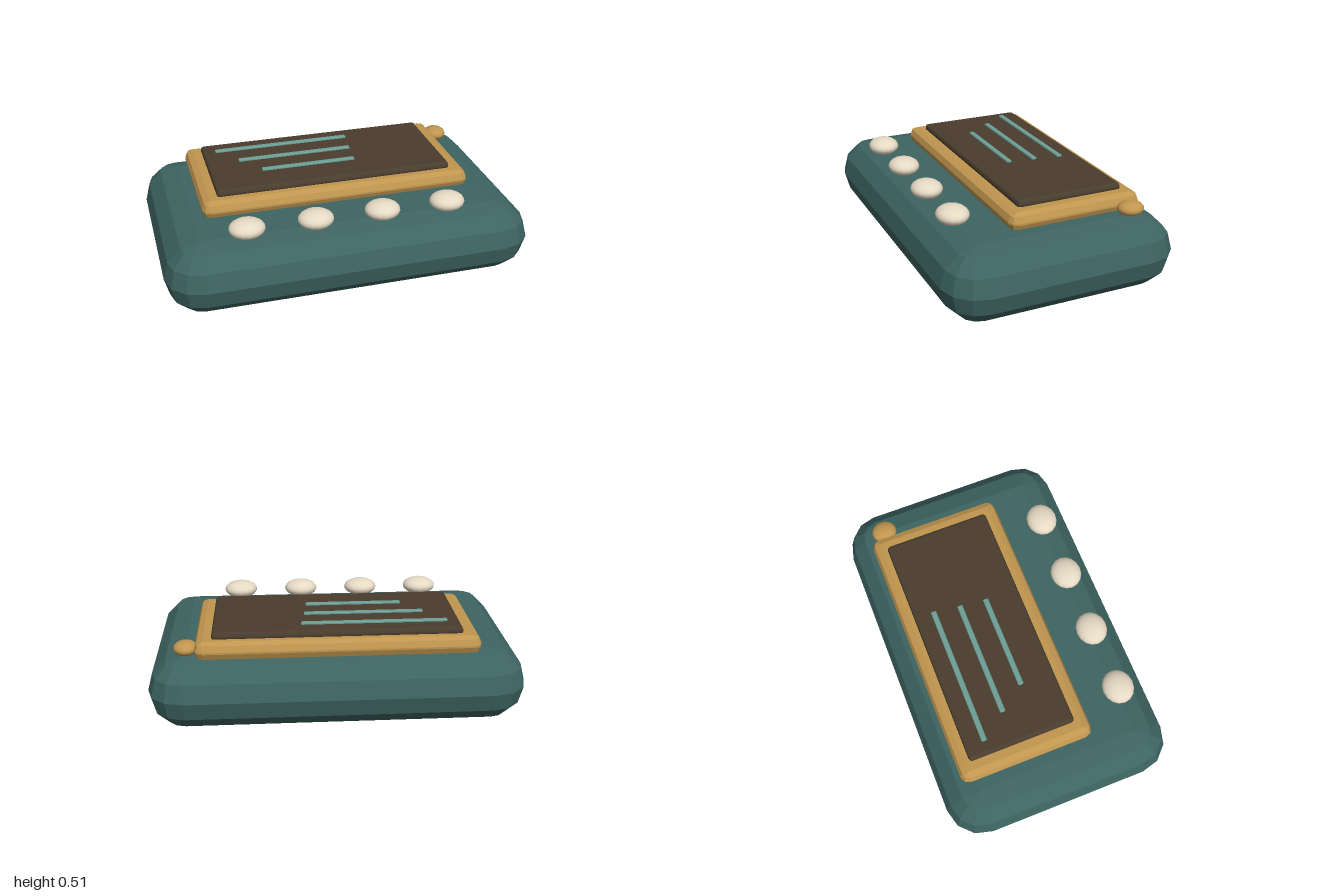
import * as THREE from 'three';

const paint = (color, flatShading) => new THREE.MeshStandardMaterial({ color, flatShading });

// Box with fully rounded edges: stacked rounded-rectangle rings, closed by fans
function roundedSlab(w, h, d, r, seg) {
  const pos = [], index = [], n = 4 * (seg + 1);
  const ring = (lat, side) => {
    const rr = r * Math.cos(lat), y = side * (h / 2 - r) + r * Math.sin(lat);
    for (let c = 0; c < 4; c++) {
      const sx = c === 0 || c === 3 ? 1 : -1, sz = c < 2 ? 1 : -1;
      for (let i = 0; i <= seg; i++) {
        const a = (c + i / seg) * Math.PI / 2;
        pos.push(sx * (w / 2 - r) + rr * Math.cos(a), y, sz * (d / 2 - r) + rr * Math.sin(a));
      }
    }
  };
  for (let j = -seg; j <= 0; j++) ring(j / seg * Math.PI / 2, -1);
  for (let j = 0; j <= seg; j++) ring(j / seg * Math.PI / 2, 1);
  const rows = 2 * seg + 2;
  for (let j = 0; j < rows - 1; j++) {
    for (let i = 0; i < n; i++) {
      const a = j * n + i, b = j * n + (i + 1) % n;
      index.push(a, a + n, b, b, a + n, b + n);
    }
  }
  const bottom = pos.length / 3, top = bottom + 1, last = (rows - 1) * n;
  pos.push(0, -h / 2, 0, 0, h / 2, 0);
  for (let i = 0; i < n; i++) {
    const k = (i + 1) % n;
    index.push(bottom, i, k, top, last + k, last + i);
  }
  const g = new THREE.BufferGeometry();
  g.setAttribute('position', new THREE.Float32BufferAttribute(pos, 3));
  g.setIndex(index);
  g.computeVertexNormals();
  return g;
}

export function createModel() {
  const model = new THREE.Group();
  const add = (name, geometry, material, x, y, z) => {
    const mesh = new THREE.Mesh(geometry, material);
    mesh.name = name;
    mesh.position.set(x, y, z);
    model.add(mesh);
    return mesh;
  };
  const teal = paint(0x3d6461, true), brass = paint(0xc1964f, true), dark = paint(0x4a3d2e, true);
  const knobBrass = paint(0xc1964f, false), cream = paint(0xe6dac4, false), mint = paint(0x6b9f95, true);

  // Case, bezel and screen
  add('case', roundedSlab(2, 0.39, 1.275, 0.195, 3), teal, 0, 0.195, 0);
  add('bezel', roundedSlab(1.5, 0.1, 0.745, 0.045, 2), brass, 0, 0.42, -0.14);
  add('screen', roundedSlab(1.32, 0.045, 0.595, 0.018, 2), dark, 0, 0.4795, -0.143);

  // Raised lines on the screen
  [[-0.59, 0.19, -0.33], [-0.48, 0.17, -0.183], [-0.375, 0.155, -0.037]].forEach(([x0, x1, z], i) => {
    add('screenLine' + (i + 1), roundedSlab(x1 - x0, 0.014, 0.03, 0.004, 1), mint, (x0 + x1) / 2, 0.506, z);
  });

  // Row of oval buttons along the front
  const ball = new THREE.SphereGeometry(1, 16, 12);
  for (let i = 0; i < 4; i++) {
    add('button' + (i + 1), ball, cream, -0.56 + i * 0.362, 0.438, 0.455).scale.set(0.096, 0.049, 0.086);
  }

  // Side knob beside the bezel
  add('sideKnob', ball, knobBrass, 0.795, 0.42, -0.417).scale.set(0.064, 0.038, 0.071);
  return model;
}
